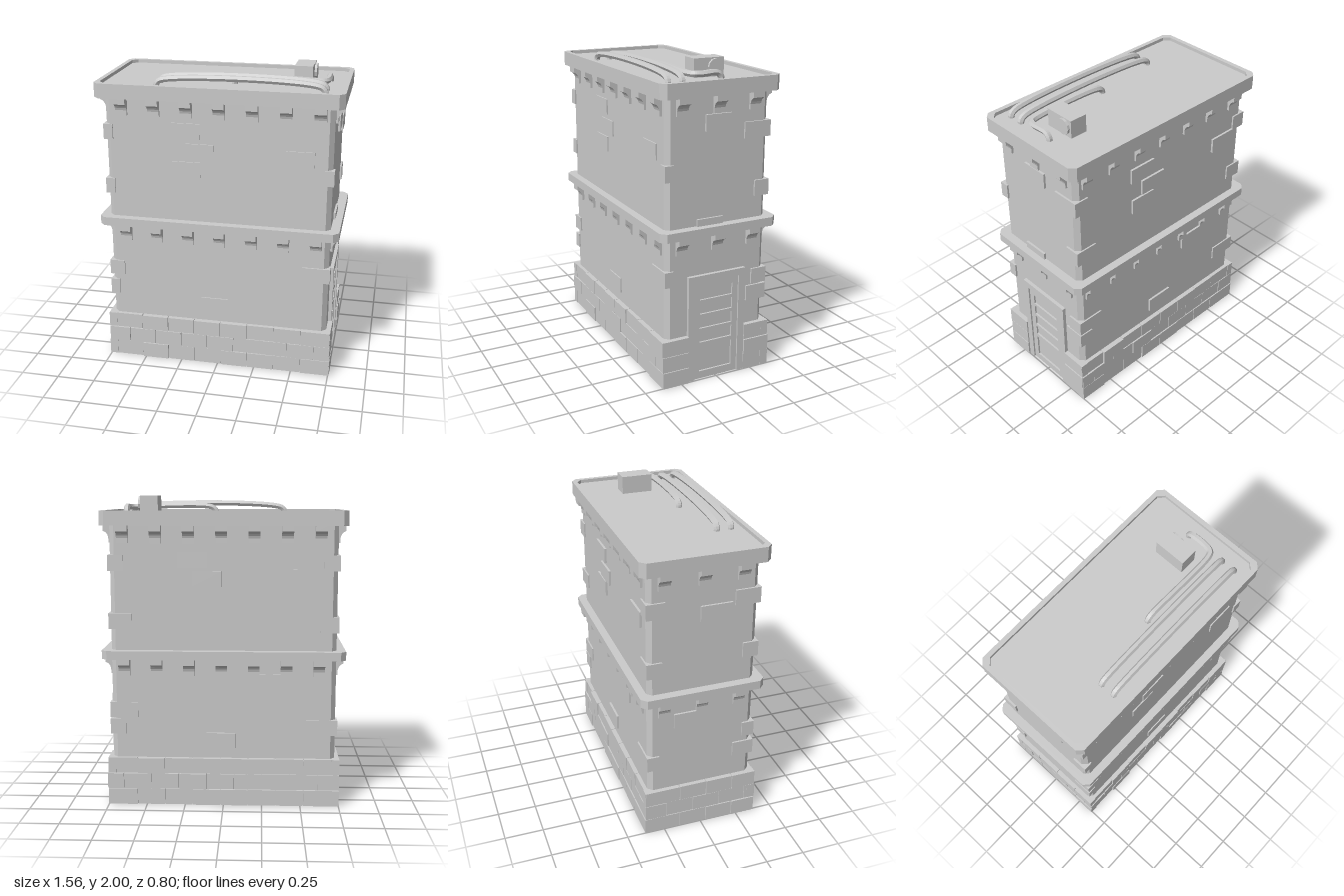
import * as THREE from 'three';

const material = new THREE.MeshStandardMaterial({ color: 0xcccccc, flatShading: true });
const HX = 0.722, HZ = 0.348; // half sizes of the walls

function add(parent, name, geometry) {
  const mesh = new THREE.Mesh(geometry, material);
  mesh.name = name;
  parent.add(mesh);
  return mesh;
}

function addGroup(parent, name) {
  const group = new THREE.Group();
  group.name = name;
  parent.add(group);
  return group;
}

// Box given by its limits on each axis
function block(parent, name, x0, x1, y0, y1, z0, z1) {
  const mesh = add(parent, name, new THREE.BoxGeometry(Math.abs(x1 - x0), y1 - y0, Math.abs(z1 - z0)));
  mesh.position.set((x0 + x1) / 2, (y0 + y1) / 2, (z0 + z1) / 2);
  return mesh;
}

// Brick on a wall: u runs along the wall, out is how far it sticks out
function wallBrick(parent, name, face, u0, u1, y0, y1, out) {
  const s = face === 'front' || face === 'right' ? 1 : -1;
  if (face === 'front' || face === 'back') {
    return block(parent, name, u0, u1, y0, y1, s * (HZ - 0.02), s * (HZ + out));
  }
  return block(parent, name, s * (HX - 0.02), s * (HX + out), y0, y1, u0, u1);
}

// Rectangle with cut corners
function cutRect(hx, hz, c) {
  return [[-hx + c, -hz], [hx - c, -hz], [hx, -hz + c], [hx, hz - c],
    [hx - c, hz], [-hx + c, hz], [-hx, hz - c], [-hx, -hz + c]]
    .map(([x, z]) => new THREE.Vector2(x, z));
}

// Upright prism with cut corners, optionally hollow
function prism(parent, name, hx, hz, cut, y0, y1, hole) {
  const shape = new THREE.Shape(cutRect(hx, hz, cut));
  if (hole) shape.holes.push(new THREE.Path(hole));
  const geometry = new THREE.ExtrudeGeometry(shape, { depth: y1 - y0, bevelEnabled: false });
  geometry.rotateX(-Math.PI / 2).translate(0, y0, 0);
  return add(parent, name, geometry);
}

// Curved bracket, its back on the plane x = 0 and its top at y = 0
function corbelGeometry() {
  const s = new THREE.Shape();
  s.moveTo(-0.01, 0);
  s.lineTo(-0.01, -0.11);
  s.lineTo(0.014, -0.11);
  s.lineTo(0.014, -0.078);
  s.quadraticCurveTo(0.02, -0.045, 0.05, -0.035);
  s.lineTo(0.05, 0);
  return new THREE.ExtrudeGeometry(s, { depth: 0.074, bevelEnabled: false, curveSegments: 4 })
    .translate(0, 0, -0.037);
}

function addCorbels(parent, y) {
  const group = addGroup(parent, 'corbels');
  const geometry = corbelGeometry();
  const put = (x, z, turn) => {
    const mesh = add(group, 'corbel', geometry);
    mesh.position.set(x, y, z);
    mesh.rotation.y = turn;
  };
  for (let i = -3; i <= 3; i++) {
    put(0.013 + i * 0.208, HZ, -Math.PI / 2);
    put(0.013 + i * 0.208, -HZ, Math.PI / 2);
  }
  for (let i = -1; i <= 1; i++) {
    put(HX, i * 0.245, 0);
    put(-HX, i * 0.245, Math.PI);
  }
}

// Three courses of bricks round the foot, leaving a gap for the door
function addBase(parent) {
  const group = addGroup(parent, 'baseBricks');
  let seed = 7;
  const random = () => (seed = (seed * 16807) % 2147483647) / 2147483647;
  const runs = [['front', -0.752, 0.752], ['back', -0.752, 0.752],
    ['left', -0.376, 0.376], ['right', -0.376, -0.2], ['right', 0.2, 0.376]];
  for (const [face, start, end] of runs) {
    for (let row = 0; row < 3; row++) {
      const y = row * 0.104;
      let u = start;
      let next = start + (row % 2 ? 0.14 : 0.23);
      while (u < end - 0.01) {
        if (end - next < 0.07) next = end;
        const out = 0.024 + random() * 0.012;
        wallBrick(group, 'baseBrick', face, u + (u > start ? 0.004 : 0), next, y + (row ? 0.003 : 0), y + 0.104, out);
        u = next;
        next += 0.18;
      }
    }
  }
  block(group, 'baseCore', -0.74, 0.72, 0.001, 0.306, -0.365, 0.365);
}

// Single bricks showing on the walls: face, start, end, bottom
function addLooseBricks(parent) {
  const group = addGroup(parent, 'wallBricks');
  const bricks = [
    ['front', -0.29, -0.11, 1.57], ['front', -0.2, -0.02, 1.44], ['front', -0.29, -0.11, 1.32],
    ['front', 0.43, 0.61, 1.43], ['front', -0.11, 0.07, 0.38],
    ['back', 0.1, 0.29, 1.55], ['back', 0.01, 0.2, 1.43], ['back', 0.1, 0.28, 1.32],
    ['back', -0.63, -0.44, 1.44], ['back', -0.38, -0.19, 0.77], ['back', -0.08, 0.11, 0.38],
    ['right', -0.085, 0.09, 1.6], ['right', -0.035, 0.14, 0.966],
    ['left', -0.02, 0.18, 1.47], ['left', -0.18, 0.01, 0.76],
  ];
  for (const [face, u0, u1, y] of bricks) {
    wallBrick(group, 'wallBrick', face, u0, u1, y, y + 0.1, face === 'front' ? 0.008 : 0.014);
  }
  // Corner bricks: side in x, side in z, bottom, length in x, length in z
  const corners = [
    [1, -1, 1.53, 0.1, 0.18], [1, -1, 1.16, 0.15, 0.1], [1, -1, 0.58, 0.18, 0.105], [1, -1, 0.47, 0.1, 0.14],
    [-1, -1, 1.53, 0.1, 0.12], [-1, -1, 1.14, 0.12, 0.1], [-1, -1, 0.47, 0.2, 0.08],
    [1, 1, 1.32, 0.06, 0.06], [1, 1, 0.66, 0.18, 0.06],
    [-1, 1, 1.54, 0.06, 0.16], [-1, 1, 1.18, 0.06, 0.1], [-1, 1, 0.6, 0.1, 0.08], [-1, 1, 0.46, 0.06, 0.14],
  ];
  for (const [sx, sz, y, lx, lz] of corners) {
    const x = sx * (HX + 0.012), z = sz * (HZ + 0.01);
    block(group, 'cornerBrick', x - sx * lx, x, y, y + 0.1, z - sz * lz, z);
  }
}

function addDoor(parent) {
  const door = addGroup(parent, 'door');
  for (const s of [-1, 1]) block(door, 'doorPost', 0.7, 0.745, 0, 0.66, s * 0.155, s * 0.2);
  block(door, 'doorLintel', 0.7, 0.745, 0.66, 0.705, -0.2, 0.2);
  // Door leaf with sunken panels
  const leaf = new THREE.Shape([[-0.155, 0], [0.155, 0], [0.155, 0.66], [-0.155, 0.66]]
    .map(([x, y]) => new THREE.Vector2(x, y)));
  const panels = [[0.05, 0.22]];
  for (let i = 0; i < 4; i++) panels.push([0.25 + i * 0.096, 0.325 + i * 0.096]);
  for (const [a, b] of panels) {
    leaf.holes.push(new THREE.Path([[-0.115, a], [-0.115, b], [0.115, b], [0.115, a]]
      .map(([x, y]) => new THREE.Vector2(x, y))));
  }
  const geometry = new THREE.ExtrudeGeometry(leaf, { depth: 0.016, bevelEnabled: false });
  add(door, 'doorLeaf', geometry.rotateY(Math.PI / 2).translate(0.718, 0, 0));
}

function addPipe(parent, points) {
  const curve = new THREE.CatmullRomCurve3(points.map((p) => new THREE.Vector3(...p)), false, 'centripetal');
  add(parent, 'roofPipe', new THREE.TubeGeometry(curve, 90, 0.02, 6));
}

function addRoofParts(parent) {
  const roof = addGroup(parent, 'roofParts');
  for (const z of [0.205, 0.297]) {
    addPipe(roof, [[-0.395, 1.87, z], [-0.395, 1.9, z], [-0.365, 1.925, z],
      [0.62, 1.925, z], [0.65, 1.9, z], [0.65, 1.87, z]]);
  }
  addPipe(roof, [[0.07, 1.87, 0.135], [0.07, 1.9, 0.135], [0.1, 1.925, 0.135], [0.6, 1.925, 0.135],
    [0.635, 1.925, 0.12], [0.65, 1.925, 0.08], [0.65, 1.925, -0.03], [0.65, 1.9, -0.053], [0.65, 1.87, -0.053]]);
  // Vent unit with a round fan cover
  block(roof, 'ventUnit', 0.435, 0.55, 1.87, 2, -0.13, 0.073);
  const fan = add(roof, 'fanCover', new THREE.CylinderGeometry(0.05, 0.05, 0.03, 12));
  fan.rotation.z = Math.PI / 2;
  fan.position.set(0.55, 1.945, -0.07);
}

export function createModel() {
  const model = new THREE.Group();
  model.name = 'building';
  prism(model, 'walls', HX, HZ, 0.03, 0, 1.83);
  prism(model, 'middleLedge', 0.78, 0.4, 0.035, 0.966, 1.022);
  prism(model, 'roofSlab', 0.78, 0.4, 0.035, 1.814, 1.885);
  prism(model, 'roofRim', 0.78, 0.4, 0.035, 1.885, 1.907, cutRect(0.75, 0.37, 0.035).reverse());
  addCorbels(model, 0.966);
  addCorbels(model, 1.814);
  addBase(model);
  addLooseBricks(model);
  addDoor(model);
  addRoofParts(model);
  return model;
}
